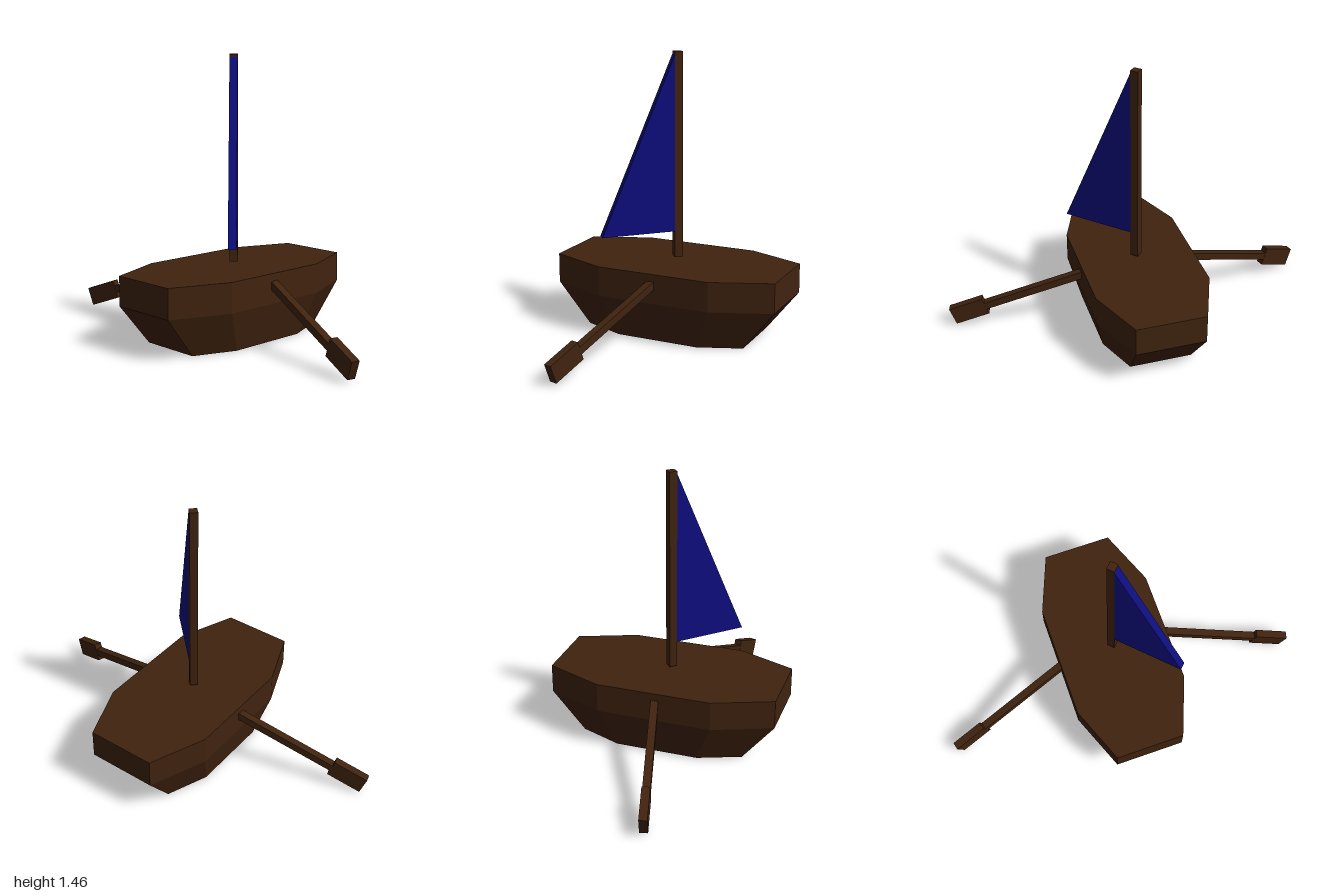
import * as THREE from 'three';

const wood = new THREE.MeshStandardMaterial({ color: 0x40230f, flatShading: true });
wood.name = 'dark wood';
const cloth = new THREE.MeshStandardMaterial({ color: 0x0e0e80, flatShading: true });
cloth.name = 'navy sailcloth';

function addMesh(parent, name, geometry, material, x = 0, y = 0, z = 0) {
  const mesh = new THREE.Mesh(geometry, material);
  mesh.name = name;
  mesh.position.set(x, y, z);
  parent.add(mesh);
  return mesh;
}

// Octagonal ring: half width and length of the bow, half width and length of the flank
function octagon(y, bowX, bowZ, sideX, sideZ) {
  return [
    [-bowX, y, bowZ], [bowX, y, bowZ], [sideX, y, sideZ], [sideX, y, -sideZ],
    [bowX, y, -bowZ], [-bowX, y, -bowZ], [-sideX, y, -sideZ], [-sideX, y, sideZ],
  ];
}

// Closed hull from stacked octagons, with flat deck and keel
function hullGeometry() {
  const rings = [
    octagon(0, 0.165, 0.44, 0.25, 0.22),
    octagon(0.215, 0.185, 0.61, 0.305, 0.305),
    octagon(0.37, 0.185, 0.61, 0.305, 0.305),
  ];
  const n = 8, top = 2 * n, index = [];
  for (let r = 0; r < 2; r++) {
    for (let i = 0; i < n; i++) {
      const a = r * n + i, b = r * n + (i + 1) % n;
      index.push(a, b, b + n, a, b + n, a + n);
    }
  }
  for (let i = 1; i < n - 1; i++) {
    index.push(top, top + i, top + i + 1);
    index.push(0, i + 1, i);
  }
  const geometry = new THREE.BufferGeometry();
  geometry.setAttribute('position', new THREE.Float32BufferAttribute(rings.flat(2), 3));
  geometry.setIndex(index);
  const flat = geometry.toNonIndexed();
  flat.computeVertexNormals();
  return flat;
}

// Oar pivoted at the blade centre, sloping down and forward away from the hull
function createOar(side) {
  const oar = new THREE.Group();
  oar.name = side > 0 ? 'leftOar' : 'rightOar';
  addMesh(oar, 'oarShaft', new THREE.BoxGeometry(0.62, 0.04, 0.04), wood, -side * 0.4, 0, 0);
  addMesh(oar, 'oarBlade', new THREE.BoxGeometry(0.19, 0.1, 0.042), wood);
  oar.position.set(side * 0.887, 0.09, 0.166);
  oar.rotation.set(0, -side * THREE.MathUtils.degToRad(15), -side * THREE.MathUtils.degToRad(20));
  return oar;
}

export function createModel() {
  const boat = new THREE.Group();
  boat.name = 'sailboat';
  addMesh(boat, 'hull', hullGeometry(), wood);

  // Mast and sail share a rig turned 45 degrees
  const rig = new THREE.Group();
  rig.name = 'rig';
  rig.rotation.y = -Math.PI / 4;
  boat.add(rig);
  addMesh(rig, 'mast', new THREE.BoxGeometry(0.042, 1.07, 0.042), wood, 0, 0.92, 0);
  const sail = new THREE.Shape([
    new THREE.Vector2(0.021, 0.525),
    new THREE.Vector2(0.412, 0.525),
    new THREE.Vector2(0.021, 1.44),
  ]);
  const sailGeometry = new THREE.ExtrudeGeometry(sail, { depth: 0.042, bevelEnabled: false });
  addMesh(rig, 'sail', sailGeometry, cloth, 0, 0, -0.021);

  for (const side of [-1, 1]) boat.add(createOar(side));
  return boat;
}
